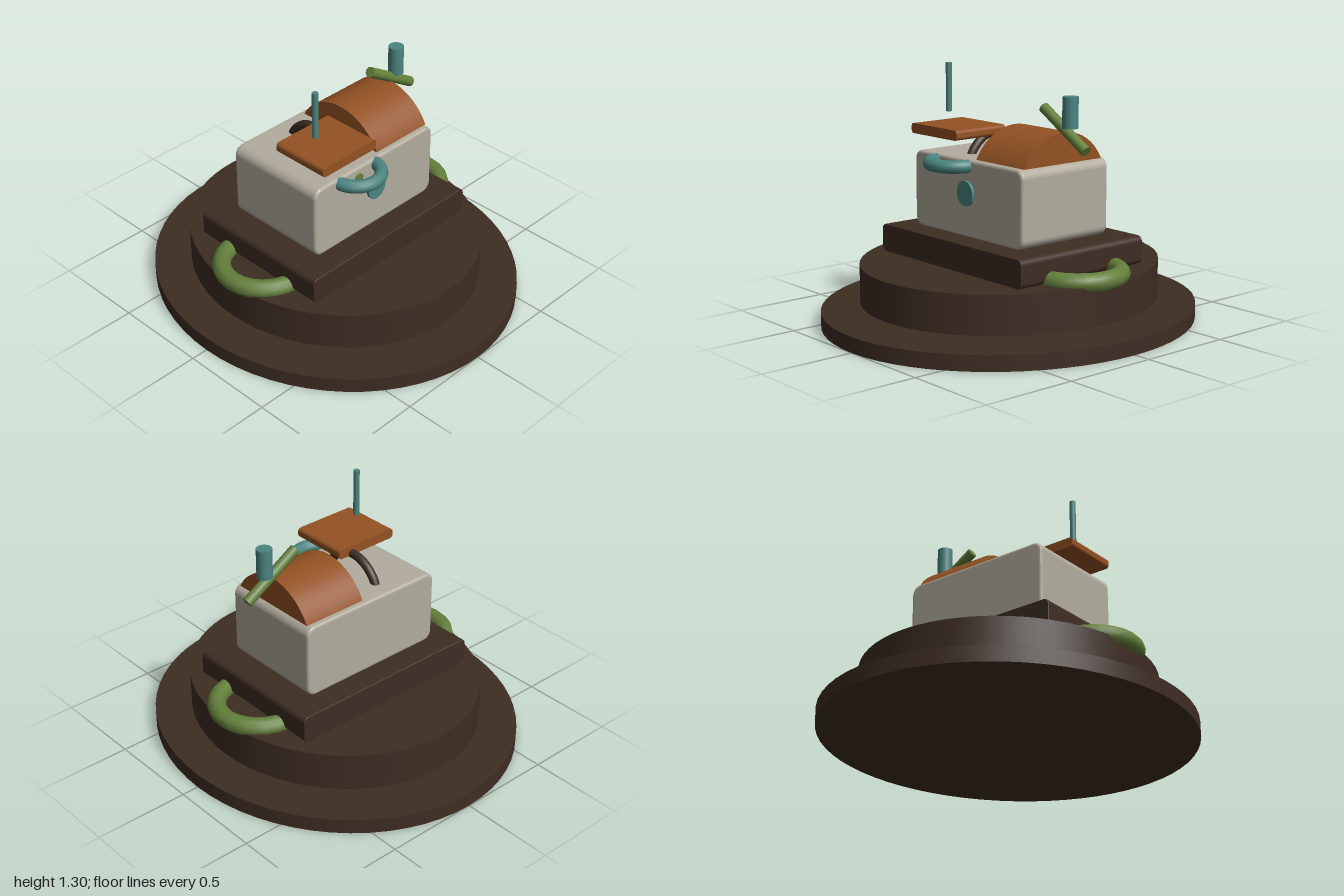
import * as THREE from 'three';

const mat = (name, color) => {
  const m = new THREE.MeshStandardMaterial({ color });
  m.name = name;
  return m;
};

export function createModel() {
  const brown = mat('dark brown', 0x3e2d23);
  const cream = mat('warm grey', 0xb2ac9e);
  const orange = mat('burnt orange', 0x935223);
  const green = mat('moss green', 0x64803c);
  const teal = mat('muted teal', 0x4a8480);
  const group = new THREE.Group();

  const add = (name, geometry, material, x = 0, y = 0, z = 0) => {
    const mesh = new THREE.Mesh(geometry, material);
    mesh.name = name;
    mesh.position.set(x, y, z);
    group.add(mesh);
    return mesh;
  };

  // Block with corners rounded in the front outline, extruded along z
  const roundedBlock = (w, h, d, r, bevel) => {
    const a = w / 2 - bevel, b = h / 2 - bevel, c = r - bevel;
    const s = new THREE.Shape();
    s.absarc(a - c, b - c, c, 0, Math.PI / 2);
    s.absarc(-a + c, b - c, c, Math.PI / 2, Math.PI);
    s.absarc(-a + c, -b + c, c, Math.PI, Math.PI * 1.5);
    s.absarc(a - c, -b + c, c, Math.PI * 1.5, Math.PI * 2);
    const depth = d - 2 * bevel;
    return new THREE.ExtrudeGeometry(s, {
      depth, curveSegments: 6, bevelEnabled: bevel > 0,
      bevelSize: bevel, bevelThickness: bevel, bevelSegments: 3,
    }).translate(0, 0, -depth / 2);
  };

  // Oval base, spacer post and raised platform
  const oval = (rx, rz, h) => new THREE.CylinderGeometry(1, 1, h, 64).scale(rx, 1, rz);
  add('basePlate', oval(0.91, 1, 0.08), brown, 0, 0.04, 0);
  add('spacerPost', new THREE.CylinderGeometry(0.048, 0.048, 0.08, 20), brown, 0.434, 0.1, 0.29);
  add('platform', oval(0.725, 0.793, 0.2), brown, 0, 0.213, 0);

  // Plinth and main body
  add('plinth', roundedBlock(1.1, 0.145, 0.81, 0.03, 0.004), brown, 0, 0.3865, 0);
  add('body', roundedBlock(0.84, 0.395, 0.57, 0.05, 0.015), cream, 0, 0.6575, 0);

  // Curved handles on both sides of the plinth
  for (const side of [1, -1]) {
    const g = new THREE.TorusGeometry(0.215, 0.048, 12, 12, Math.PI)
      .rotateZ(-side * Math.PI / 2).rotateX(Math.PI / 2);
    add(side > 0 ? 'leftHandle' : 'rightHandle', g, green, side * 0.503, 0.329, 0);
  }

  // Barrel-topped cover: a circle segment extruded along x
  const arc = new THREE.Shape();
  const half = Math.asin(0.255 / 0.287);
  arc.absarc(0, 0.723, 0.287, Math.PI / 2 - half, Math.PI / 2 + half);
  arc.closePath();
  const cover = new THREE.ExtrudeGeometry(arc, { depth: 0.36, bevelEnabled: false, curveSegments: 28 })
    .rotateY(Math.PI / 2);
  add('barrelCover', cover, orange, 0.04, 0, 0);

  // Flat tray and the bent support beneath it
  add('tray', roundedBlock(0.365, 0.052, 0.32, 0.018, 0), orange, -0.2175, 0.972, 0.16);
  const points = [];
  for (let i = 0; i <= 12; i++) {
    const t = THREE.MathUtils.lerp(-1.25, 1.25, i / 12);
    points.push(new THREE.Vector3(-0.12, 0.76 + 0.195 * Math.cos(t), -0.01 + 0.185 * Math.sin(t)));
  }
  const path = new THREE.CatmullRomCurve3(points);
  add('bentSupport', new THREE.TubeGeometry(path, 24, 0.023, 10), brown);

  // Front handle, its peg and the round button
  const frontHandle = new THREE.TorusGeometry(0.127, 0.034, 12, 24, Math.PI).rotateX(Math.PI / 2);
  add('frontHandle', frontHandle, teal, -0.12, 0.821, 0.264);
  const peg = new THREE.CylinderGeometry(0.024, 0.024, 0.03, 14).rotateX(Math.PI / 2);
  add('handlePeg', peg, green, -0.12, 0.798, 0.28);
  const button = new THREE.CylinderGeometry(0.06, 0.06, 0.04, 28).rotateX(Math.PI / 2).scale(1, 1.07, 1);
  add('button', button, teal, 0, 0.685, 0.28);

  // Upright pin, slanted lever and its knob
  add('pin', new THREE.CylinderGeometry(0.016, 0.016, 0.25, 14), teal, -0.292, 1.18, 0.16);
  const lever = add('lever', new THREE.CylinderGeometry(0.027, 0.027, 0.355, 16), green, 0.407, 1.026, 0);
  lever.rotation.z = Math.atan2(0.302, 0.183);
  add('knob', new THREE.CylinderGeometry(0.04, 0.04, 0.155, 20), teal, 0.447, 1.113, 0);

  return group;
}
